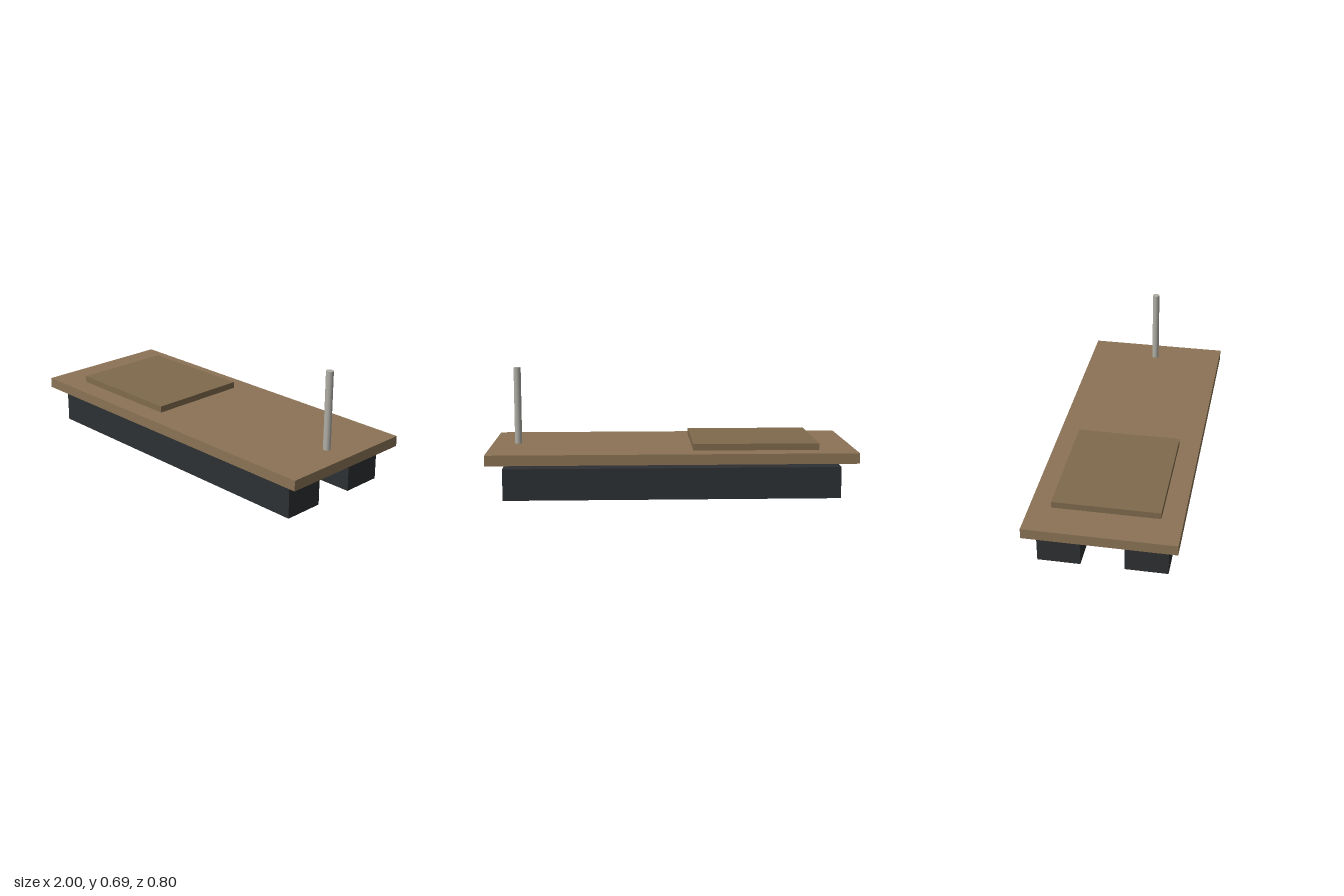
import * as THREE from 'three';

const material = (color) => new THREE.MeshStandardMaterial({ color });

function addPart(group, name, geometry, mat, x, y, z) {
  const mesh = new THREE.Mesh(geometry, mat);
  mesh.name = name;
  mesh.position.set(x, y, z);
  group.add(mesh);
  return mesh;
}

export function createModel() {
  const group = new THREE.Group();
  group.name = 'floatingDock';

  const deckWood = material(0x8b7355);
  const padWood = material(0x806a4d);
  const floatDark = material(0x2d3033);
  const postMetal = material(0xb0aea6);

  // Two long floats, one along each side
  const floatGeometry = new THREE.BoxGeometry(1.828, 0.172, 0.228);
  for (const [name, side] of [['frontFloat', 1], ['backFloat', -1]]) {
    addPart(group, name, floatGeometry, floatDark, 0, 0.086, side * 0.229);
  }

  // Deck board, held clear of the floats by a narrow gap
  addPart(group, 'deck', new THREE.BoxGeometry(2, 0.057, 0.8), deckWood, 0, 0.2285, 0);

  // Raised platform on the right half of the deck
  addPart(group, 'raisedPlatform', new THREE.BoxGeometry(0.686, 0.036, 0.571), padWood, -0.457, 0.275, 0);

  // Mooring post near the left end
  addPart(group, 'mooringPost', new THREE.CylinderGeometry(0.02, 0.02, 0.429, 16), postMetal, 0.857, 0.4715, 0);

  return group;
}
